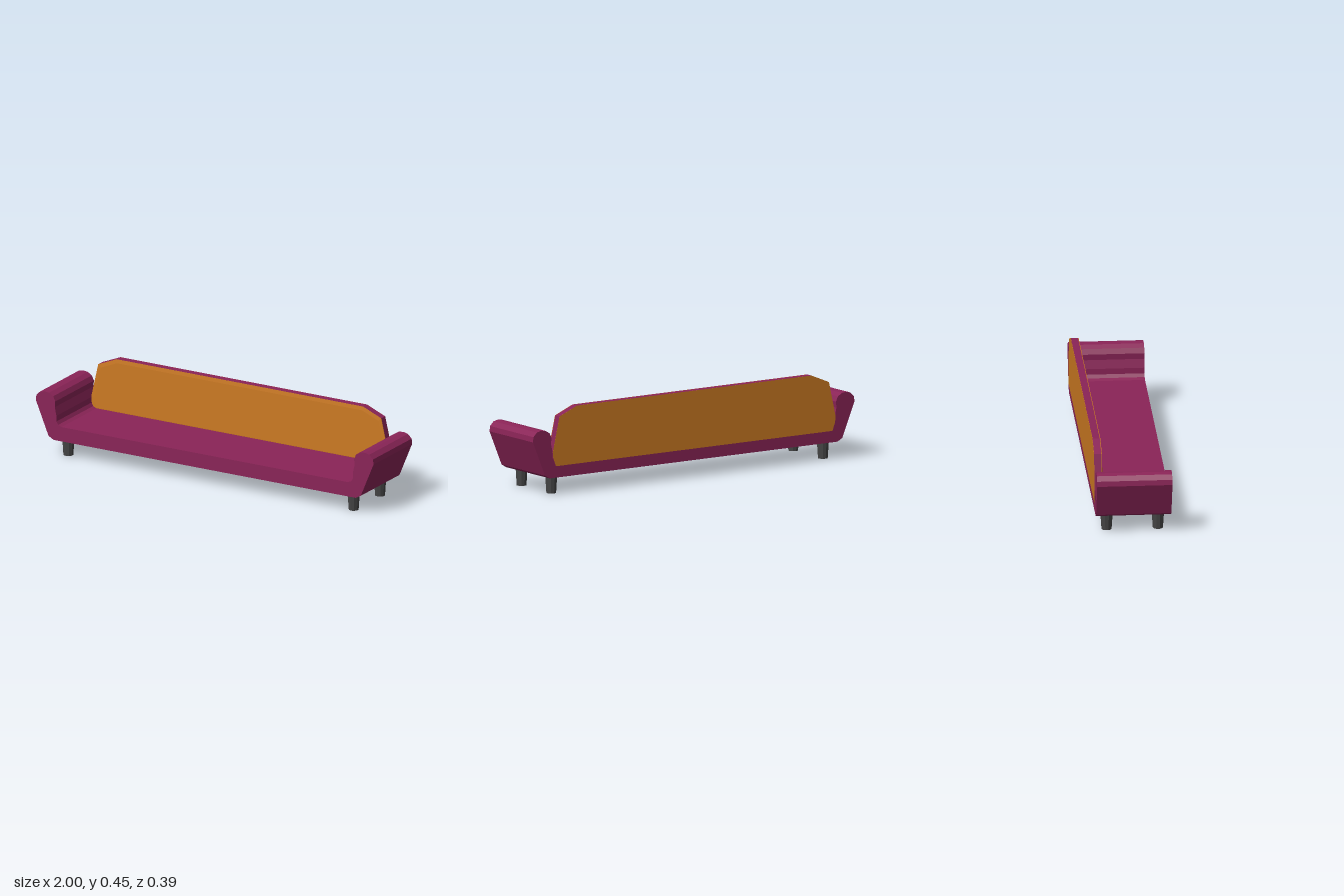
import * as THREE from 'three';

const upholstery = new THREE.MeshStandardMaterial({ color: 0x8a2457 });
upholstery.name = 'plum upholstery';
const panelFabric = new THREE.MeshStandardMaterial({ color: 0xcc7a22 });
panelFabric.name = 'orange panel';
const legPaint = new THREE.MeshStandardMaterial({ color: 0x444444 });
legPaint.name = 'dark grey legs';

// Closed symmetric outline from its right half, listed bottom to top
function mirroredShape(half) {
  const left = half.map(([x, y]) => [-x, y]).reverse();
  return new THREE.Shape([...half, ...left].map(([x, y]) => new THREE.Vector2(x, y)));
}

// Extrude an outline from zMin to zMax
function slab(name, shape, zMin, zMax, material, bevel) {
  const t = bevel ? bevel.bevelThickness : 0;
  const geometry = new THREE.ExtrudeGeometry(shape, {
    depth: zMax - zMin - 2 * t, bevelEnabled: !!bevel, ...bevel,
  });
  geometry.translate(0, 0, zMin + t);
  const mesh = new THREE.Mesh(geometry, material);
  mesh.name = name;
  return mesh;
}

export function createModel() {
  const model = new THREE.Group();
  model.name = 'sofa';

  // Seat and both flared armrests in one continuous profile
  const body = mirroredShape([
    [0.895, 0.088], [0.925, 0.105], [1.0, 0.285], [0.997, 0.312], [0.975, 0.334],
    [0.95, 0.34], [0.922, 0.337], [0.897, 0.322], [0.885, 0.296], [0.888, 0.265],
    [0.878, 0.22], [0.878, 0.19], [0.868, 0.173], [0.848, 0.165],
  ]);
  model.add(slab('seatAndArms', body, -0.189, 0.195, upholstery));

  // Upright back with clipped top corners
  const back = mirroredShape([
    [0.86, 0.148], [0.876, 0.19], [0.88, 0.22], [0.838, 0.403], [0.73, 0.448],
  ]);
  model.add(slab('backrest', back, -0.193, -0.156, upholstery));

  // Orange facings on the two sides of the back
  model.add(slab('backrestFrontPanel', back, -0.157, -0.151, panelFabric,
    { bevelThickness: 0.002, bevelSize: 0.02, bevelOffset: -0.02, bevelSegments: 1 }));
  model.add(slab('backrestRearPanel', back, -0.1935, -0.1925, panelFabric));

  // Four tapered legs
  const legGeometry = new THREE.CylinderGeometry(0.032, 0.026, 0.09, 10).toNonIndexed();
  legGeometry.computeVertexNormals();
  for (const x of [-0.845, 0.845]) {
    for (const z of [-0.13, 0.132]) {
      const leg = new THREE.Mesh(legGeometry, legPaint);
      leg.name = (z > 0 ? 'front' : 'rear') + (x > 0 ? 'Left' : 'Right') + 'Leg';
      leg.position.set(x, 0.045, z);
      model.add(leg);
    }
  }
  return model;
}
